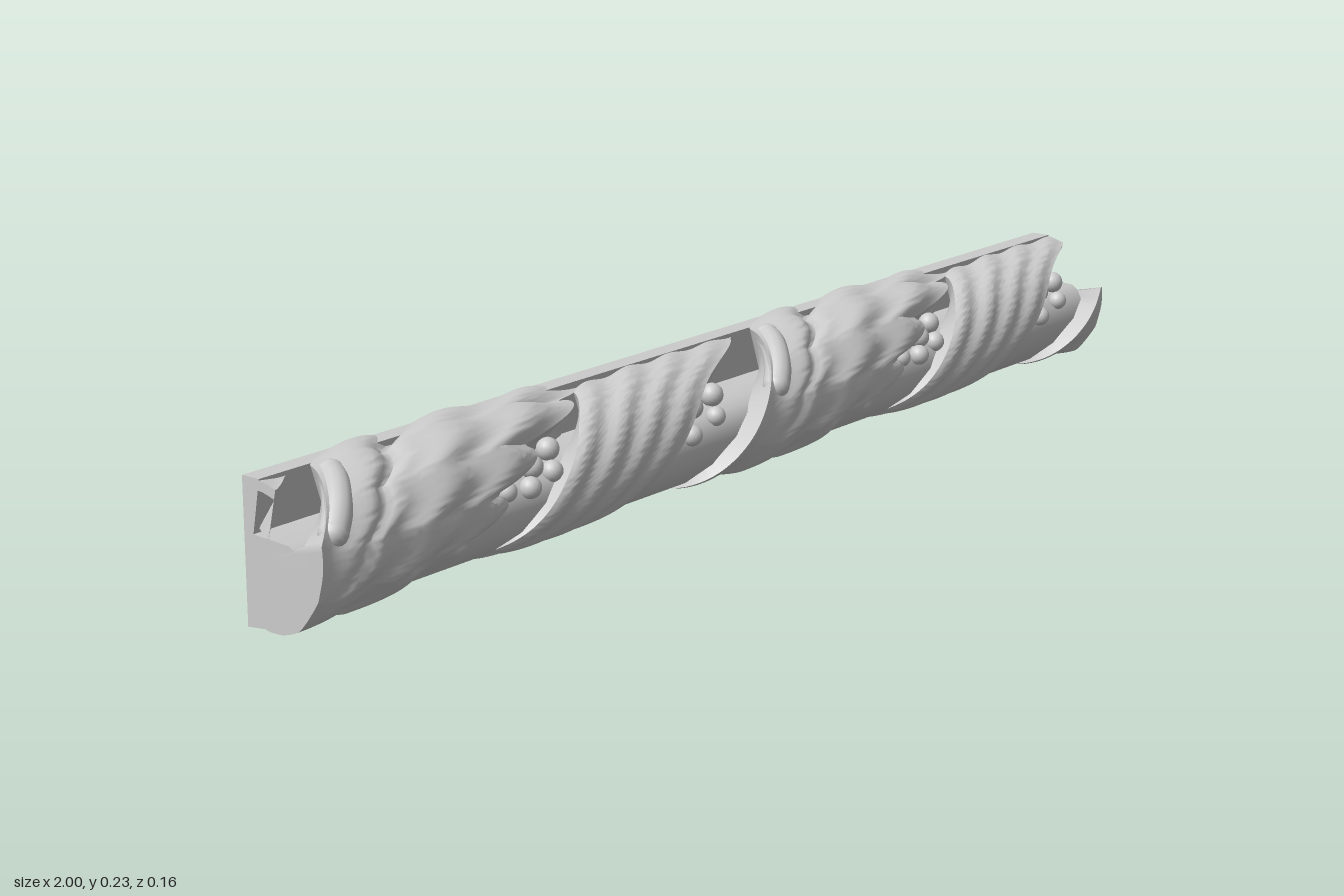
import * as THREE from 'three';
import { toCreasedNormals } from 'three/addons/utils/BufferGeometryUtils.js';

const material = new THREE.MeshStandardMaterial({ color: 0xcccccc, side: THREE.DoubleSide });
const clamp = (x, lo, hi) => Math.min(hi, Math.max(lo, x));

// Point on the half-round: t = 0 bottom, 0.5 front, 1 top
const onRound = (x, t, r) => new THREE.Vector3(
  x, Math.max(0.001, 0.11 - r * Math.cos(Math.PI * t)),
  Math.max(-0.075, -0.04 + 1.05 * r * Math.sin(Math.PI * t)));

// Smooth edge line through x positions at t = 0, 0.25, 0.5, 0.75, 1
function edge(xs) {
  const curve = new THREE.SplineCurve(xs.map((x, i) => new THREE.Vector2(x, i / 4)));
  return (t) => {
    const s = clamp(t, 0, 1);
    return curve.getPoint(s).x + (t - s) * 0.5;
  };
}

const leafLeft = edge([-0.15, -0.1, -0.03, 0.04, 0.09]);
const leafRightBase = edge([0.15, 0.25, 0.34, 0.45, 0.62]);
const leafRight = (t) => leafRightBase(t) + 0.065 * Math.pow(Math.abs(Math.sin(Math.PI * (5 * t + 0.2))), 0.7);
const bandLeft = edge([0.38, 0.45, 0.51, 0.58, 0.65]);
const bandRight = edge([0.58, 0.69, 0.78, 0.88, 1.04]);

// Carved heights, v runs from the left edge to the right edge
const leafHeight = (v, t) => 0.101 + 0.014 * clamp(t, 0, 1) + 0.005 * Math.sin(Math.PI * v)
  + 0.005 * Math.sin(v * 20 + t * 5)
  - 0.016 * Math.exp(-(((v - 0.26) / 0.04) ** 2)) * clamp(2 * t - 0.5, 0, 1)
  - 0.016 * v ** 5;
const bandHeight = (v) => 0.107 + 0.004 * Math.sin(v * 24) * (1 - 0.5 * v)
  - 0.01 * (1 - v) ** 6 - 0.002 * v ** 4;

// A raised leaf wrapped on the half-round, with undercut side walls
function wrap(name, offset, left, right, height) {
  const cols = 44, rows = 74;
  const pos = [], index = [];
  for (let j = 0; j <= rows; j++) {
    const t = -0.07 + 1.21 * j / rows;
    const l = left(t) + offset, r = right(t) + offset;
    const cl = clamp(l, -1, 1), cr = clamp(r, -1, 1);
    const empty = cr - cl < 0.001;
    const inner = 0.025 + 0.2 * Math.max(0, t - 1);
    for (let i = -1; i <= cols + 1; i++) {
      const wall = i < 0 || i > cols;
      let x = cl + (cr - cl) * clamp(i / cols, 0, 1);
      const v = (x - l) / (r - l);
      const cut = (i < 0 && cl !== l) || (i > cols && cr !== r);
      let h = wall || empty ? inner : height(v, t);
      // a thin rim stays where the moulding's end cuts the overhang
      if (cut && !empty && t > 0.7) h = height(v, t) - 0.015;
      if (i > cols && !cut) x = Math.max(cl, x - 0.08);
      if (i < 0 && !cut) x = Math.min(cr, x + 0.03);
      pos.push(...onRound(x, t, h).toArray());
    }
  }
  const w = cols + 3;
  for (let j = 0; j < rows; j++) {
    for (let i = 0; i < w - 1; i++) {
      const a = j * w + i, b = a + 1, c = b + w, d = a + w;
      index.push(a, b, c, a, c, d);
    }
  }
  const g = new THREE.BufferGeometry();
  g.setAttribute('position', new THREE.Float32BufferAttribute(pos, 3));
  g.setIndex(index);
  const mesh = new THREE.Mesh(toCreasedNormals(g, 0.8), material);
  mesh.name = name;
  return mesh;
}

// Core with its flat back strip
function core() {
  const pts = [[-0.08, 0], [-0.04, 0.004], [0, 0.018], [0.028, 0.046], [0.042, 0.085],
    [0.034, 0.115], [0.008, 0.134], [-0.062, 0.138], [-0.056, 0.17], [-0.047, 0.22], [-0.08, 0.22]];
  const shape = new THREE.Shape(pts.map(([z, y]) => new THREE.Vector2(-z, y)));
  const g = new THREE.ExtrudeGeometry(shape, { depth: 2, bevelEnabled: false });
  g.rotateY(Math.PI / 2).translate(-1, 0, 0);
  const mesh = new THREE.Mesh(toCreasedNormals(g, 0.7), material);
  mesh.name = 'core';
  return mesh;
}

// Rolled lip on the starting edge of the leaf
function curl(offset) {
  const path = [];
  for (let i = 0; i <= 6; i++) {
    const t = 0.64 + 0.3 * i / 6;
    path.push(onRound(leafLeft(t) + offset + 0.03, t, 0.097));
  }
  const group = new THREE.Group();
  group.name = 'leafCurl';
  const roll = new THREE.Mesh(
    new THREE.TubeGeometry(new THREE.CatmullRomCurve3(path), 24, 0.022, 14), material);
  roll.name = 'roll';
  group.add(roll);
  for (const p of [path[0], path[6]]) {
    const tip = new THREE.Mesh(new THREE.SphereGeometry(0.022, 16, 12), material);
    tip.name = 'rollEnd';
    tip.position.copy(p);
    group.add(tip);
  }
  return group;
}

// Berries as [x, y, z, radius] in each repeat
const berryList = [
  [0.41, 0.12, 0.038, 0.016], [0.44, 0.145, 0.022, 0.017], [0.46, 0.115, 0.04, 0.017],
  [0.48, 0.14, 0.025, 0.018], [0.52, 0.125, 0.03, 0.017], [0.54, 0.15, 0.004, 0.018],
  [0.8, 0.12, 0.036, 0.016], [0.84, 0.11, 0.04, 0.017], [0.87, 0.145, 0.015, 0.019],
  [0.91, 0.125, 0.032, 0.016], [0.935, 0.15, 0.004, 0.019],
];
function berries(offset) {
  const group = new THREE.Group();
  group.name = 'berries';
  for (const [x, y, z, r] of berryList) {
    const berry = new THREE.Mesh(new THREE.SphereGeometry(r, 18, 12), material);
    berry.name = 'berry';
    berry.position.set(x + offset, y, z);
    group.add(berry);
  }
  return group;
}

export function createModel() {
  const model = new THREE.Group();
  model.name = 'carvedMoulding';
  model.add(core());
  for (const offset of [-1, 0]) model.add(curl(offset), berries(offset));
  for (const offset of [-2, -1, 0]) {
    model.add(wrap('ribbonLeaf', offset, bandLeft, bandRight, bandHeight));
    model.add(wrap('lobedLeaf', offset + 1, leafLeft, leafRight, leafHeight));
  }
  return model;
}
